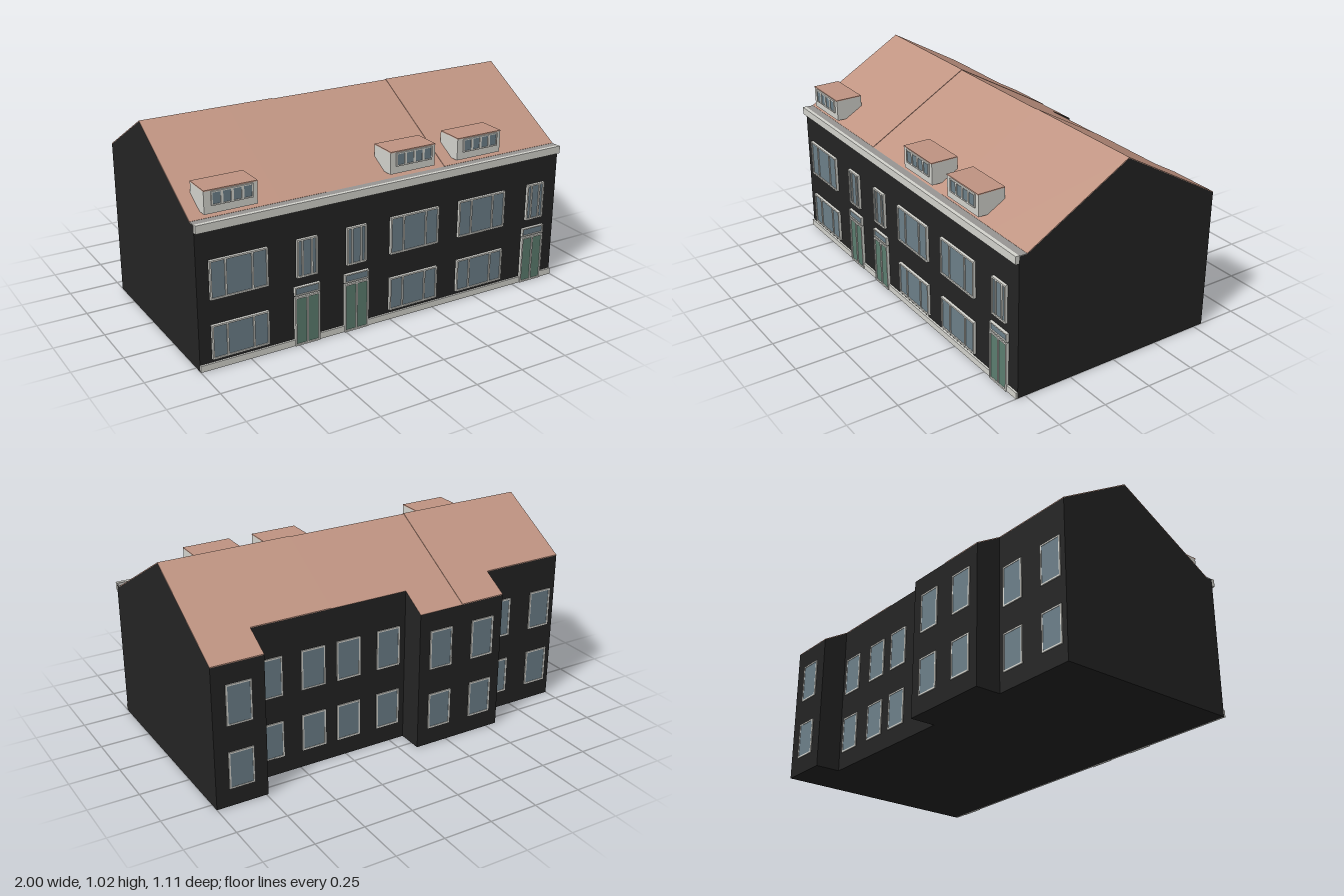
import * as THREE from 'three';

const mat = (name, color) => {
  const m = new THREE.MeshStandardMaterial({ color });
  m.name = name;
  return m;
};

export function createModel() {
  const model = new THREE.Group();
  model.name = 'terracedHouses';
  const brick = mat('darkBrick', 0x242424);
  const tile = mat('roofTile', 0xc09482);
  const trim = mat('paleTrim', 0xd4d4ce);
  const zinc = mat('gutterGrey', 0x989693);
  const glass = mat('windowGlass', 0x6d808a);
  const green = mat('doorGreen', 0x5c7f70);

  const add = (name, geo, material, parent = model) => {
    const mesh = new THREE.Mesh(geo, material);
    mesh.name = name;
    parent.add(mesh);
    return mesh;
  };
  const box = (name, material, x0, x1, y0, y1, z0, z1, parent) => {
    const g = new THREE.BoxGeometry(x1 - x0, y1 - y0, z1 - z0);
    g.translate((x0 + x1) / 2, (y0 + y1) / 2, (z0 + z1) / 2);
    return add(name, g, material, parent);
  };
  // Sweep a [z, y] outline along x
  const sweep = (name, material, pts, x0, x1) => {
    const shape = new THREE.Shape(pts.map(([z, y]) => new THREE.Vector2(-z, y)));
    const g = new THREE.ExtrudeGeometry(shape, { depth: x1 - x0, bevelEnabled: false });
    g.rotateY(Math.PI / 2).translate(x0, 0, 0);
    return add(name, g, material);
  };

  const FRONT = 0.54, RIDGE_Z = -0.03, RIDGE_Y = 1.012, EAVE_Z = 0.5, EAVE_Y = 0.71;
  const BACK = -0.42, BAY = -0.55;
  const backY = (z) => RIDGE_Y - (RIDGE_Z - z) * 0.583;

  // Walls and roof, split at the rear bays and at the party walls
  const cuts = [
    [-1, -0.56, BACK, 0.004], [-0.56, -0.32, BAY, 0.004], [-0.32, -0.08, BAY, 0.001],
    [-0.08, 0.33, BACK, 0.001], [0.33, 0.74, BACK, 0.004], [0.74, 1, BAY, 0.004],
  ];
  for (const [x0, x1, zb, lift] of cuts) {
    const yb = backY(zb);
    sweep('walls', brick, [[FRONT, 0], [FRONT, EAVE_Y], [EAVE_Z, EAVE_Y],
      [RIDGE_Z, RIDGE_Y], [zb, yb], [zb, 0]], x0, x1);
    sweep('roof', tile, [[EAVE_Z, EAVE_Y], [EAVE_Z, EAVE_Y + lift], [RIDGE_Z, RIDGE_Y + lift],
      [zb, yb + lift], [zb, yb], [RIDGE_Z, RIDGE_Y]], x0, x1);
  }

  // Eaves board and gutter
  box('eavesBoard', trim, -1, 1, 0.676, 0.715, FRONT, 0.558);
  box('gutter', zinc, -1, 1, 0.708, 0.713, EAVE_Z, FRONT);

  // Frame with one hole per pane, in front of a thin filling panel
  const framed = (name, fill, x0, x1, y0, y1, z, opt = {}) => {
    const { splits = [], depth = 0.014, border = 0.008, bar = 0.008, back = false } = opt;
    const w = x1 - x0, h = y1 - y0;
    const g = new THREE.Group();
    g.name = name;
    const rect = (P, a, b, c, d) => {
      const p = new P();
      p.moveTo(a, c); p.lineTo(b, c); p.lineTo(b, d); p.lineTo(a, d); p.closePath();
      return p;
    };
    const shape = rect(THREE.Shape, -w / 2, w / 2, 0, h);
    const edges = [0, ...splits, 1];
    for (let i = 0; i < edges.length - 1; i++) {
      const a = -w / 2 + edges[i] * w + (i === 0 ? border : bar / 2);
      const b = -w / 2 + edges[i + 1] * w - (i === edges.length - 2 ? border : bar / 2);
      shape.holes.push(rect(THREE.Path, a, b, border, h - border));
    }
    add('frame', new THREE.ExtrudeGeometry(shape, { depth, bevelEnabled: false }), trim, g);
    box('panel', fill, -w / 2 + border / 2, w / 2 - border / 2, border / 2, h - border / 2,
      0, depth * 0.6, g);
    g.position.set((x0 + x1) / 2, y0, z);
    if (back) g.rotation.y = Math.PI;
    model.add(g);
  };

  // Wide front windows on both floors
  for (const [x0, x1] of [[-0.94, -0.655], [-0.005, 0.27], [0.39, 0.67]]) {
    for (const [y0, y1] of [[0.05, 0.22], [0.345, 0.535]]) {
      framed('wideWindow', glass, x0, x1, y0, y1, FRONT, { splits: [0.27, 0.73] });
    }
  }

  // Doors with fanlights, and the narrow window above each
  const doors = [[-0.522, -0.39], [-0.257, -0.125], [0.797, 0.93]];
  for (const [x0, x1] of doors) {
    framed('frontDoor', green, x0, x1, 0, 0.25, FRONT, { splits: [0.5], depth: 0.015 });
    framed('fanlight', glass, x0, x1, 0.256, 0.3, FRONT, { border: 0.006, depth: 0.015 });
  }
  for (const [x0, x1] of [[-0.508, -0.402], [-0.245, -0.139], [0.813, 0.919]]) {
    framed('narrowWindow', glass, x0, x1, 0.345, 0.535, FRONT, { splits: [0.27, 0.73] });
  }

  // Plinth between the doors
  let start = -1;
  for (const [x0, x1] of [...doors, [1, 1]]) {
    box('plinth', trim, start, x0, 0, 0.032, FRONT, 0.55);
    start = x1;
  }

  // Dormers
  for (const [x0, x1] of [[-0.935, -0.678], [0.013, 0.263], [0.395, 0.65]]) {
    box('dormer', trim, x0, x1, 0.735, 0.841, 0.37, 0.51);
    box('dormerRoof', tile, x0, x1, 0.841, 0.846, 0.37, 0.512);
    const c = (x0 + x1) / 2 + 0.005;
    framed('dormerWindow', glass, c - 0.1, c + 0.1, 0.772, 0.838, 0.51,
      { splits: [0.25, 0.5, 0.75], depth: 0.008, border: 0.006, bar: 0.012 });
  }

  // Rear windows, two rows
  const rear = [
    [-0.97, BACK], [-0.715, BACK], [-0.507, BAY], [-0.265, BAY],
    [-0.048, BACK], [0.173, BACK], [0.362, BACK], [0.587, BACK], [0.806, BAY],
  ];
  for (const [x, z] of rear) {
    for (const [y0, y1] of [[0.09, 0.277], [0.41, 0.612]]) {
      framed('rearWindow', glass, x, x + 0.127, y0, y1, z, { depth: 0.005, back: true });
    }
  }
  return model;
}
